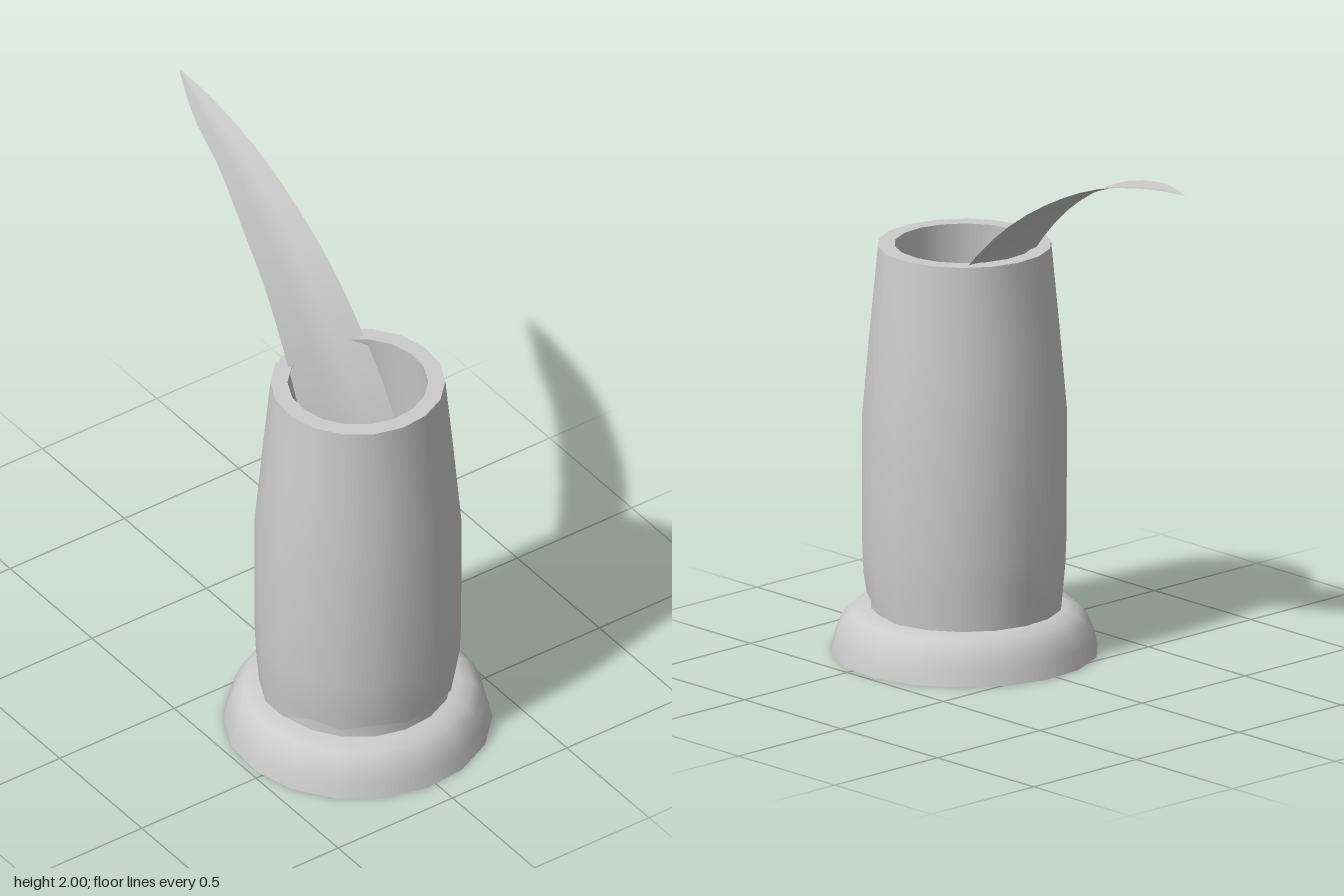
import * as THREE from 'three';
import { toCreasedNormals } from 'three/addons/utils/BufferGeometryUtils.js';

const SIDES = 18;
const POT_Z = 0.423;

function makeMaterial(side = THREE.FrontSide) {
  return new THREE.MeshStandardMaterial({ color: 0xcccccc, side });
}

function turned(name, profile, reshape) {
  const points = profile.map(([r, y]) => new THREE.Vector2(r, y));
  let geometry = new THREE.LatheGeometry(points, SIDES);
  if (reshape) reshape(geometry.attributes.position, points.length);
  geometry = toCreasedNormals(geometry, 0.85);
  const mesh = new THREE.Mesh(geometry, makeMaterial());
  mesh.name = name;
  mesh.rotation.y = THREE.MathUtils.degToRad(-5);
  mesh.position.z = POT_Z;
  return mesh;
}

// Ragged lower lip: raised at the front, meeting the foot at the back
const LIP = 2;
function chipLip(position, rows) {
  for (let i = 0; i <= SIDES; i++) {
    const front = Math.cos((i / SIDES) * Math.PI * 2);
    if (front < 0.1) continue;
    const rise = 0.045 * Math.min(1, front * 2) + (i % 2 ? 0.018 : 0);
    position.setY(i * rows + LIP, position.getY(i * rows + LIP) + rise);
  }
}

// Leaf stations: z, y, left edge x, right edge x
const LEAF = [
  [0.57, 1.02, -0.07, 0.06],
  [0.53, 1.09, -0.13, 0.11],
  [0.46, 1.19, -0.17, 0.15],
  [0.38, 1.31, -0.19, 0.17],
  [0.2, 1.52, -0.15, 0.175],
  [0, 1.695, -0.1, 0.18],
  [-0.22, 1.83, -0.05, 0.18],
  [-0.44, 1.925, 0.01, 0.18],
  [-0.65, 1.975, 0.06, 0.178],
  [-0.8, 1.995, 0.12, 0.175],
  [-0.9, 2, 0.168, 0.172],
];

function makeLeaf() {
  const curves = [2, 3].map((edge) => new THREE.CatmullRomCurve3(
    LEAF.map((s) => new THREE.Vector3(s[edge], s[1], s[0]))));
  const rows = 24;
  const columns = 6;
  const geometry = new THREE.PlaneGeometry(1, 1, columns, rows);
  const position = geometry.attributes.position;
  const point = new THREE.Vector3();
  for (let r = 0; r <= rows; r++) {
    const [a, b] = curves.map((c) => c.getPoint(r / rows));
    const width = b.x - a.x;
    for (let c = 0; c <= columns; c++) {
      const u = c / columns;
      point.lerpVectors(a, b, u);
      // shallow groove along the middle
      point.y -= 0.06 * width * (1 - Math.abs(2 * u - 1));
      // small notch at the base
      if (r === 0) point.z -= 0.015 * (1 - Math.abs(2 * u - 1));
      position.setXYZ(r * (columns + 1) + c, point.x, point.y, point.z);
    }
  }
  // rows run from base to tip, so reverse the winding to face upward
  const index = geometry.index;
  for (let i = 0; i < index.count; i += 3) {
    const first = index.getX(i);
    index.setX(i, index.getX(i + 1));
    index.setX(i + 1, first);
  }
  geometry.computeVertexNormals();
  const mesh = new THREE.Mesh(geometry, makeMaterial(THREE.DoubleSide));
  mesh.name = 'leaf';
  return mesh;
}

export function createModel() {
  const model = new THREE.Group();
  model.name = 'pottedLeaf';

  // Rounded foot
  model.add(turned('foot', [
    [0, 0], [0.479, 0], [0.465, 0.06], [0.443, 0.115], [0.41, 0.152], [0.365, 0.168], [0, 0.168],
  ]));

  // Hollow body: recessed core, lip, outer wall, rim, inner wall and floor
  model.add(turned('body', [
    [0.335, 0.15], [0.335, 0.27], [0.35, 0.165],
    [0.362, 0.3], [0.367, 0.42], [0.368, 0.88], [0.34, 1.2], [0.311, 1.505],
    [0.25, 1.505], [0.28, 1.2], [0.305, 0.88], [0.305, 0.42], [0.29, 0.22], [0, 0.22],
  ], chipLip));

  // Curved leaf leaning out over the back
  model.add(makeLeaf());
  return model;
}
